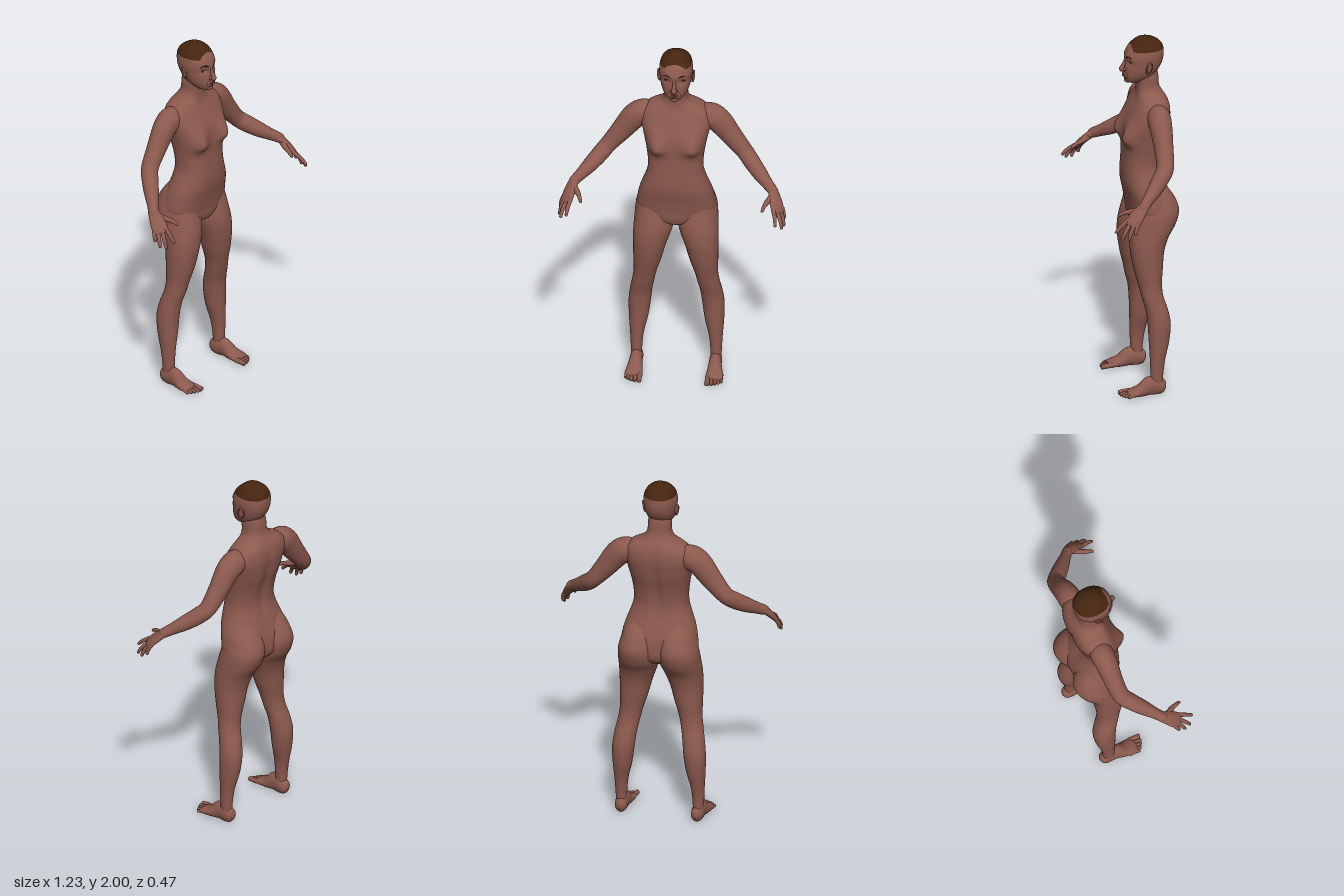
import * as THREE from 'three';

const mat = (name, color) => Object.assign(new THREE.MeshStandardMaterial({ color }), { name });
const gauss = (d, s) => Math.exp(-(d * d) / (s * s));

// Smooth interpolation through rows of numbers, t from 0 to 1
function sample(keys, t) {
  const f = t * (keys.length - 1), i = Math.min(Math.floor(f), keys.length - 2), u = f - i;
  const k = (n) => keys[Math.max(0, Math.min(keys.length - 1, n))];
  return k(i).map((b, c) => {
    const a = k(i - 1)[c], d = k(i + 1)[c], e = k(i + 2)[c];
    return b + 0.5 * u * (d - a + u * (2 * a - 5 * b + 4 * d - e + u * (3 * (b - d) + e - a)));
  });
}

// Closed skin from a function of (row, angle); side -1 mirrors it in x.
// pick(x, y, z) may assign a material index to each face.
function skinGrid(rows, cols, side, fn, pick) {
  const pos = [], faces = [[], []];
  for (let i = 0; i <= rows; i++)
    for (let j = 0; j < cols; j++) {
      const p = fn(i / rows, (j / cols) * Math.PI * 2);
      pos.push(p[0] * side, p[1], p[2]);
    }
  const add = (a, b, c) => {
    const mid = (k) => (pos[a * 3 + k] + pos[b * 3 + k] + pos[c * 3 + k]) / 3;
    const list = faces[pick ? pick(mid(0), mid(1), mid(2)) : 0];
    if (side > 0) list.push(a, b, c); else list.push(a, c, b);
  };
  for (let i = 0; i < rows; i++)
    for (let j = 0; j < cols; j++) {
      const k = (j + 1) % cols, a = i * cols + j, b = a + cols, c = i * cols + k, d = c + cols;
      add(a, b, c);
      add(c, b, d);
    }
  const g = new THREE.BufferGeometry();
  g.setAttribute('position', new THREE.Float32BufferAttribute(pos, 3));
  g.setIndex([...faces[0], ...faces[1]]);
  if (pick) {
    g.addGroup(0, faces[0].length, 0);
    g.addGroup(faces[0].length, faces[1].length, 1);
  }
  g.computeVertexNormals();
  return g;
}

// Stack of horizontal sections: [y, centreX, halfWidth, zFront, zBack]
function stack(keys, power, side = 1, warp = null, rows = 80, cols = 64, pick = null) {
  return skinGrid(rows, cols, side, (t, a) => {
    const [y, cx, w, zf, zb] = sample(keys, t);
    const bend = (v) => Math.sign(v) * Math.abs(v) ** (2 / power);
    const p = [cx + w * bend(Math.cos(a)), y, (zf + zb) / 2 + ((zf - zb) / 2) * bend(Math.sin(a))];
    if (warp) warp(p, Math.sin(a));
    return p;
  }, pick);
}

// Tapered limb along a path: [x, y, z, radius along ref, other radius], with a rounded tip
function limb(keys, ref, side = 1, floor = -1, rows = 28, cols = 20) {
  const r = new THREE.Vector3(...ref), v = (t) => new THREE.Vector3(...sample(keys, t).slice(0, 3));
  const cut = 0.88;
  return skinGrid(rows, cols, side, (t, a) => {
    const k = sample(keys, t);
    const T = v(Math.min(1, t + 0.01)).sub(v(Math.max(0, t - 0.01))).normalize();
    const N = r.clone().addScaledVector(T, -r.dot(T)).normalize();
    const B = N.clone().cross(T);
    const f = t > cut ? Math.sqrt(Math.max(1e-4, 1 - ((t - cut) / (1 - cut)) ** 2)) : 1;
    const p = v(t).addScaledVector(N, k[3] * f * Math.cos(a)).addScaledVector(B, k[4] * f * Math.sin(a));
    return [p.x, Math.max(floor, p.y), p.z];
  });
}

export function createModel() {
  const model = new THREE.Group();
  model.name = 'figure';
  const skin = mat('skin', 0x8c594e), hair = mat('hair', 0x46250f);
  const brow = mat('brow', 0x35190f), eye = mat('eye', 0x4a2f28), lip = mat('lip', 0x7c473f);
  const put = (name, geometry, material = skin, parent = model) => {
    const m = new THREE.Mesh(geometry, material);
    m.name = name;
    parent.add(m);
    return m;
  };
  const ball = (name, material, [x, y, z], [sx, sy, sz]) => {
    const m = put(name, new THREE.SphereGeometry(1, 20, 14), material);
    m.position.set(x, y, z);
    m.scale.set(sx, sy, sz);
    return m;
  };

  // Torso and neck, with a modelled chest and a spine furrow
  put('torso', stack([
    [0.925, 0, 0.01, -0.06, -0.1], [0.945, 0, 0.06, 0.0, -0.16], [0.98, 0, 0.165, 0.015, -0.195],
    [1.03, 0, 0.21, 0.02, -0.203], [1.1, 0, 0.205, 0.032, -0.197], [1.16, 0, 0.19, 0.045, -0.18],
    [1.22, 0, 0.168, 0.049, -0.162], [1.28, 0, 0.151, 0.047, -0.152], [1.34, 0, 0.15, 0.044, -0.156],
    [1.4, 0, 0.157, 0.043, -0.168], [1.46, 0, 0.168, 0.042, -0.186], [1.52, 0, 0.182, 0.033, -0.198],
    [1.57, 0, 0.192, 0.014, -0.204], [1.62, 0, 0.184, -0.008, -0.201], [1.655, 0, 0.15, -0.024, -0.19],
    [1.685, 0, 0.09, -0.03, -0.172], [1.72, 0, 0.066, -0.03, -0.155], [1.78, 0, 0.062, -0.025, -0.15],
    [1.83, 0, 0.05, -0.03, -0.14],
  ], 2.4, 1, (p, s) => {
    const x = Math.abs(p[0]);
    const dy = p[1] - 1.445;
    if (s > 0) p[2] += 0.04 * Math.min(1, s * 1.6) * gauss(x - 0.1, 0.05) * gauss(dy, dy < 0 ? 0.042 : 0.075);
    else p[2] += 0.013 * gauss(x, 0.028) * gauss(p[1] - 1.4, 0.2) * -s;
  }, 130, 88));

  // Head, with eye hollows, and the cropped hair as its second material
  put('head', stack([
    [1.742, 0, 0.012, 0.01, -0.03], [1.75, 0, 0.038, 0.027, -0.065], [1.78, 0, 0.064, 0.036, -0.12],
    [1.82, 0, 0.08, 0.036, -0.154], [1.86, 0, 0.087, 0.033, -0.173], [1.9, 0, 0.09, 0.033, -0.18],
    [1.94, 0, 0.084, 0.016, -0.177], [1.97, 0, 0.067, -0.012, -0.156], [1.99, 0, 0.039, -0.04, -0.117],
    [2.0, 0, 0.002, -0.073, -0.077],
  ], 2.2, 1, (p, s) => {
    if (s > 0) p[2] -= 0.009 * gauss(Math.abs(p[0]) - 0.04, 0.02) * gauss(p[1] - 1.868, 0.016);
  }, 90, 96, (x, y, z) => (y > 1.935 && z < 0 ? 1 : 0)), [skin, hair]);

  // Nose and mouth
  put('nose', limb([
    [0, 1.885, 0.024, 0.007, 0.008], [0, 1.855, 0.036, 0.009, 0.01], [0, 1.832, 0.048, 0.012, 0.012],
    [0, 1.822, 0.052, 0.015, 0.012], [0, 1.81, 0.042, 0.012, 0.01],
  ], [1, 0, 0]));
  ball('noseBase', skin, [0, 1.82, 0.038], [0.022, 0.009, 0.012]);
  ball('mouthMound', skin, [0, 1.789, 0.03], [0.034, 0.022, 0.013]);
  ball('upperLip', lip, [0, 1.793, 0.039], [0.022, 0.005, 0.007]);
  ball('lowerLip', lip, [0, 1.783, 0.038], [0.019, 0.006, 0.008]);
  ball('chin', skin, [0, 1.757, 0.02], [0.024, 0.015, 0.017]);

  for (const side of [1, -1]) {
    const tag = side > 0 ? 'left' : 'right';
    const spread = [0.67, -0.15, -0.73];

    // Eye, brow and ear
    ball(tag + 'Eye', eye, [side * 0.04, 1.868, 0.009], [0.014, 0.006, 0.006]);
    put(tag + 'Eyelid', limb([[0.024, 1.87, 0.013, 0.002, 0.003], [0.04, 1.876, 0.014, 0.003, 0.004],
      [0.058, 1.869, 0.006, 0.002, 0.003]], [0, 1, 0], side), brow);
    put(tag + 'Brow', limb([[0.018, 1.893, 0.031, 0.003, 0.002], [0.042, 1.902, 0.023, 0.003, 0.002],
      [0.064, 1.894, 0.007, 0.001, 0.002]], [0, 1, 0], side), brow);
    const ear = new THREE.Group();
    ear.name = tag + 'Ear';
    ear.position.set(side * 0.092, 1.846, -0.08);
    ear.rotation.set(-0.15, side * 0.3, side * -0.12);
    model.add(ear);
    put('earBowl', new THREE.SphereGeometry(1, 16, 12), skin, ear).scale.set(0.006, 0.03, 0.016);
    const rim = put('earRim', new THREE.TorusGeometry(0.03, 0.006, 8, 28), skin, ear);
    rim.rotation.y = Math.PI / 2;
    rim.scale.set(0.55, 1, 0.9);

    // Leg, from ankle to seat
    put(tag + 'Leg', stack([
      [0.03, 0.213, 0.028, -0.06, -0.125], [0.1, 0.215, 0.03, -0.055, -0.122], [0.2, 0.213, 0.037, -0.052, -0.135],
      [0.3, 0.205, 0.052, -0.048, -0.158], [0.4, 0.199, 0.06, -0.044, -0.168], [0.48, 0.19, 0.06, -0.035, -0.155],
      [0.55, 0.177, 0.06, -0.016, -0.134], [0.62, 0.165, 0.063, 0.0, -0.128], [0.7, 0.153, 0.076, 0.02, -0.135],
      [0.8, 0.14, 0.09, 0.036, -0.146], [0.88, 0.126, 0.104, 0.038, -0.172], [0.95, 0.115, 0.111, 0.028, -0.215],
      [1.02, 0.112, 0.108, 0.01, -0.236], [1.08, 0.106, 0.098, 0.0, -0.222], [1.14, 0.1, 0.083, -0.02, -0.187],
      [1.2, 0.1, 0.04, -0.05, -0.14],
    ], 2.1, side, null, 100, 48));

    // Foot and toes
    put(tag + 'Foot', limb([
      [0.212, 0.035, -0.14, 0.002, 0.002], [0.212, 0.038, -0.128, 0.026, 0.034], [0.213, 0.045, -0.095, 0.034, 0.05],
      [0.214, 0.05, -0.05, 0.034, 0.054], [0.216, 0.03, 0, 0.042, 0.034], [0.218, 0.021, 0.045, 0.048, 0.021],
      [0.219, 0.016, 0.08, 0.043, 0.013],
    ], [1, 0, 0], side, 0.002, 40, 32));
    [[0.182, 0.118, 0.014], [0.205, 0.116, 0.01], [0.224, 0.108, 0.0095], [0.241, 0.097, 0.009], [0.256, 0.083, 0.009]]
      .forEach(([x, tip, r], i) => put(tag + 'Toe' + (i + 1), limb([[x, 0.02, tip - 0.065, r, r],
        [x + 0.001, 0.018, tip - 0.03, r * 0.9, r], [x + 0.002, r, tip, r, r * 0.95]], [1, 0, 0], side, 0, 20, 14)));

    // Arm, from shoulder to wrist
    put(tag + 'Arm', limb([
      [0.11, 1.585, -0.11, 0.05, 0.05], [0.17, 1.588, -0.11, 0.07, 0.063], [0.226, 1.558, -0.108, 0.07, 0.061],
      [0.298, 1.465, -0.105, 0.058, 0.052], [0.368, 1.378, -0.095, 0.046, 0.047], [0.41, 1.335, -0.06, 0.046, 0.045],
      [0.46, 1.292, -0.01, 0.041, 0.04], [0.505, 1.258, 0.035, 0.032, 0.031], [0.54, 1.232, 0.07, 0.027, 0.027],
      [0.55, 1.21, 0.09, 0.02, 0.02],
    ], [0, 1, 0], side, -1, 64, 36));

    // Palm, fingers and thumb
    put(tag + 'Palm', limb([
      [0.52, 1.248, 0.046, 0.026, 0.024], [0.54, 1.23, 0.072, 0.031, 0.021], [0.557, 1.195, 0.11, 0.041, 0.019],
      [0.57, 1.162, 0.14, 0.043, 0.015], [0.576, 1.143, 0.154, 0.037, 0.011],
    ], spread, side, -1, 32, 28));
    [
      ['Index', [0.548, 1.17, 0.16], [0.56, 1.143, 0.202], [0.565, 1.11, 0.235]],
      ['Middle', [0.564, 1.162, 0.147], [0.588, 1.121, 0.183], [0.598, 1.08, 0.206]],
      ['Ring', [0.578, 1.16, 0.13], [0.6, 1.116, 0.157], [0.606, 1.078, 0.17]],
      ['Little', [0.591, 1.162, 0.113], [0.602, 1.13, 0.127], [0.604, 1.102, 0.133]],
    ].forEach(([name, a, b, c]) => put(tag + name + 'Finger',
      limb([[...a, 0.012, 0.012], [...b, 0.0105, 0.0105], [...c, 0.008, 0.008]], spread, side, -1, 22, 14)));
    put(tag + 'Thumb', limb([[0.538, 1.216, 0.09, 0.02, 0.018], [0.512, 1.204, 0.135, 0.015, 0.014],
      [0.499, 1.196, 0.168, 0.011, 0.011], [0.489, 1.178, 0.2, 0.008, 0.008]], spread, side, -1, 24, 16));
  }
  return model;
}
